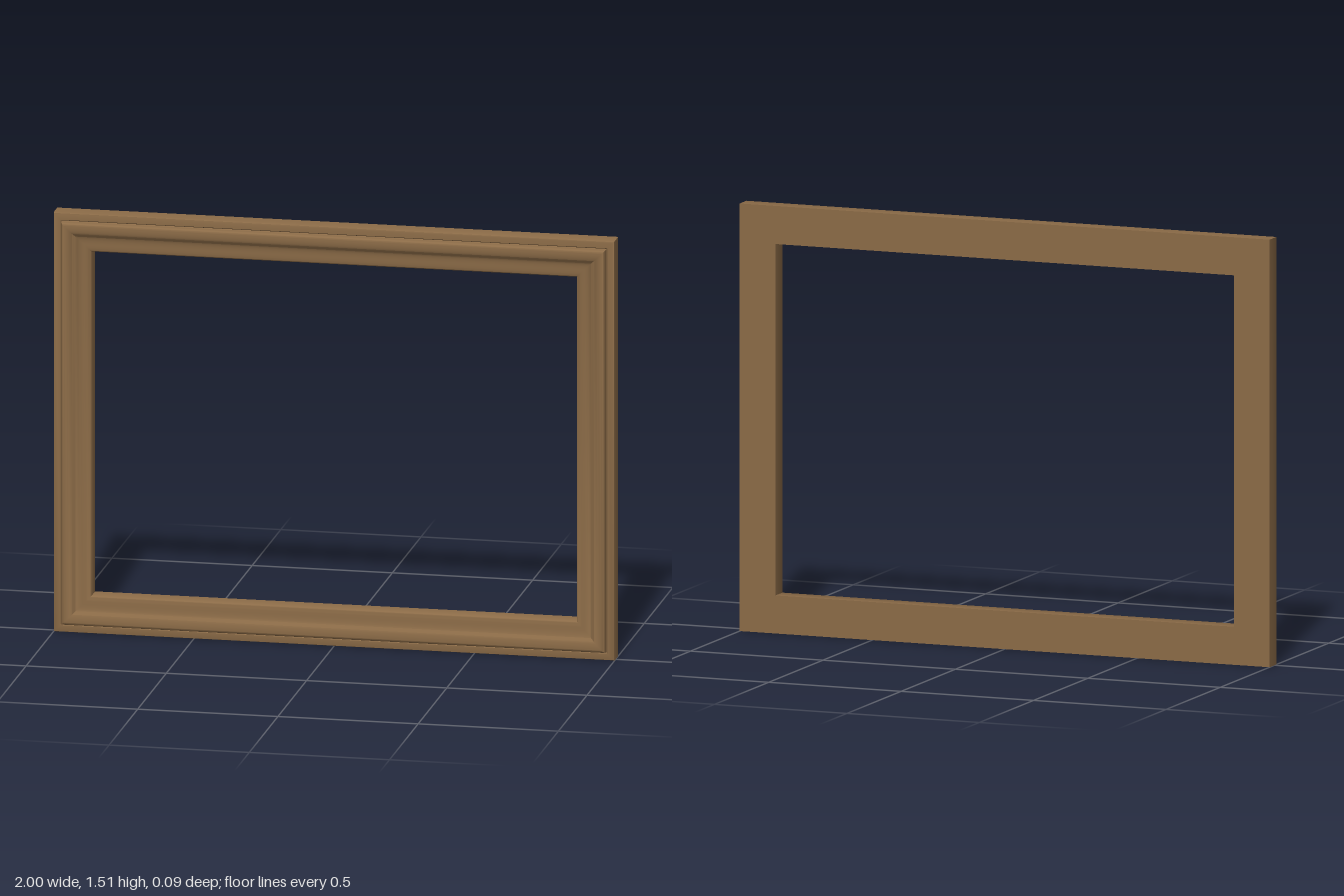
import * as THREE from 'three';
import { toCreasedNormals } from 'three/addons/utils/BufferGeometryUtils.js';

const W = 1, H = 1.515; // half width, full height

// Sweeps a moulding profile of [inset, z] points around the rectangle with mitred corners
function mitredFrame(profile) {
  const pos = [];
  const corner = (i, [d, z]) => [
    [-W + d, d, z], [W - d, d, z], [W - d, H - d, z], [-W + d, H - d, z],
  ][i % 4];
  for (let i = 0; i < 4; i++) {
    for (let j = 0; j < profile.length; j++) {
      const p = profile[j], q = profile[(j + 1) % profile.length];
      const a = corner(i, p), b = corner(i + 1, p), c = corner(i + 1, q), d = corner(i, q);
      pos.push(...a, ...b, ...c, ...a, ...c, ...d);
    }
  }
  const g = new THREE.BufferGeometry();
  g.setAttribute('position', new THREE.Float32BufferAttribute(pos, 3));
  return toCreasedNormals(g, 0.7);
}

export function createModel() {
  const wood = new THREE.MeshStandardMaterial({ color: 0x8b6b47 });
  wood.name = 'brown wood';

  // Raised lip, then a cove falling towards the opening
  const lip = new THREE.Path();
  lip.moveTo(0.03, 0.022);
  lip.lineTo(0.03, 0.032);
  lip.quadraticCurveTo(0.031, 0.046, 0.045, 0.046);
  lip.bezierCurveTo(0.075, 0.046, 0.075, 0.026, 0.105, 0.025);
  lip.quadraticCurveTo(0.132, 0.024, 0.135, 0.017);

  const profile = [
    [0, -0.046], [0, 0.016], [0.002, 0.021], [0.006, 0.023], [0.025, 0.023], [0.028, 0.019],
    ...lip.getPoints(8).map((p) => [p.x, p.y]),
    [0.135, -0.046],
  ];

  const frame = new THREE.Mesh(mitredFrame(profile), wood);
  frame.name = 'pictureFrame';

  const group = new THREE.Group();
  group.name = 'frame';
  group.add(frame);
  return group;
}
